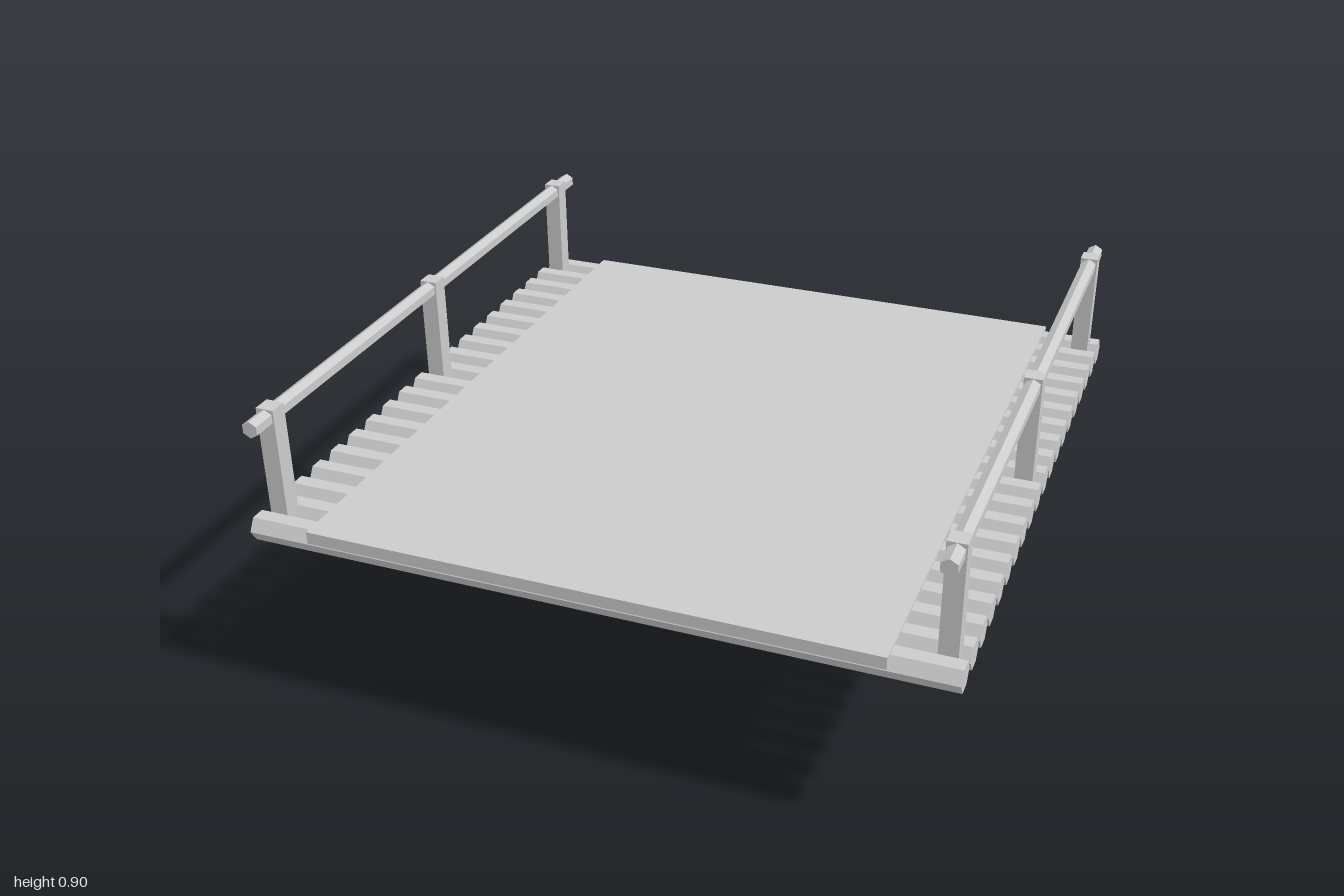
import * as THREE from 'three';

const material = new THREE.MeshStandardMaterial({ color: 0xcccccc, flatShading: true });

export function createModel() {
  const model = new THREE.Group();
  model.name = 'logPlatform';

  const add = (name, geometry, x, y, z) => {
    const mesh = new THREE.Mesh(geometry, material);
    mesh.name = name;
    mesh.position.set(x, y, z);
    model.add(mesh);
  };

  // Row of hexagonal logs laid across the platform
  const logCount = 20;
  const logGeometry = new THREE.CylinderGeometry(0.043, 0.043, 2, 6).rotateZ(Math.PI / 2);
  logGeometry.scale(1, 0.95, 1);
  for (let i = 0; i < logCount; i++) {
    add('log', logGeometry, 0, 0.542, -0.954 + (1.908 * i) / (logCount - 1));
  }

  // Flat road surface over the logs
  add('deck', new THREE.BoxGeometry(1.63, 0.036, 2), 0, 0.566, 0);

  // Octagonal supports, railing posts and hexagonal handrails, on both sides
  const legGeometry = new THREE.CylinderGeometry(0.061, 0.061, 0.54, 8).rotateY(Math.PI / 8);
  const postGeometry = new THREE.BoxGeometry(0.053, 0.34, 0.053);
  const railGeometry = new THREE.CylinderGeometry(0.025, 0.025, 2, 6).rotateX(Math.PI / 2);
  for (const side of [-1, 1]) {
    add('leg', legGeometry, side * 0.6, 0.27, 0);
    add('handrail', railGeometry, side * 0.948, 0.874, 0);
    for (const z of [-0.9, 0, 0.9]) add('railPost', postGeometry, side * 0.948, 0.73, z);
  }

  return model;
}
